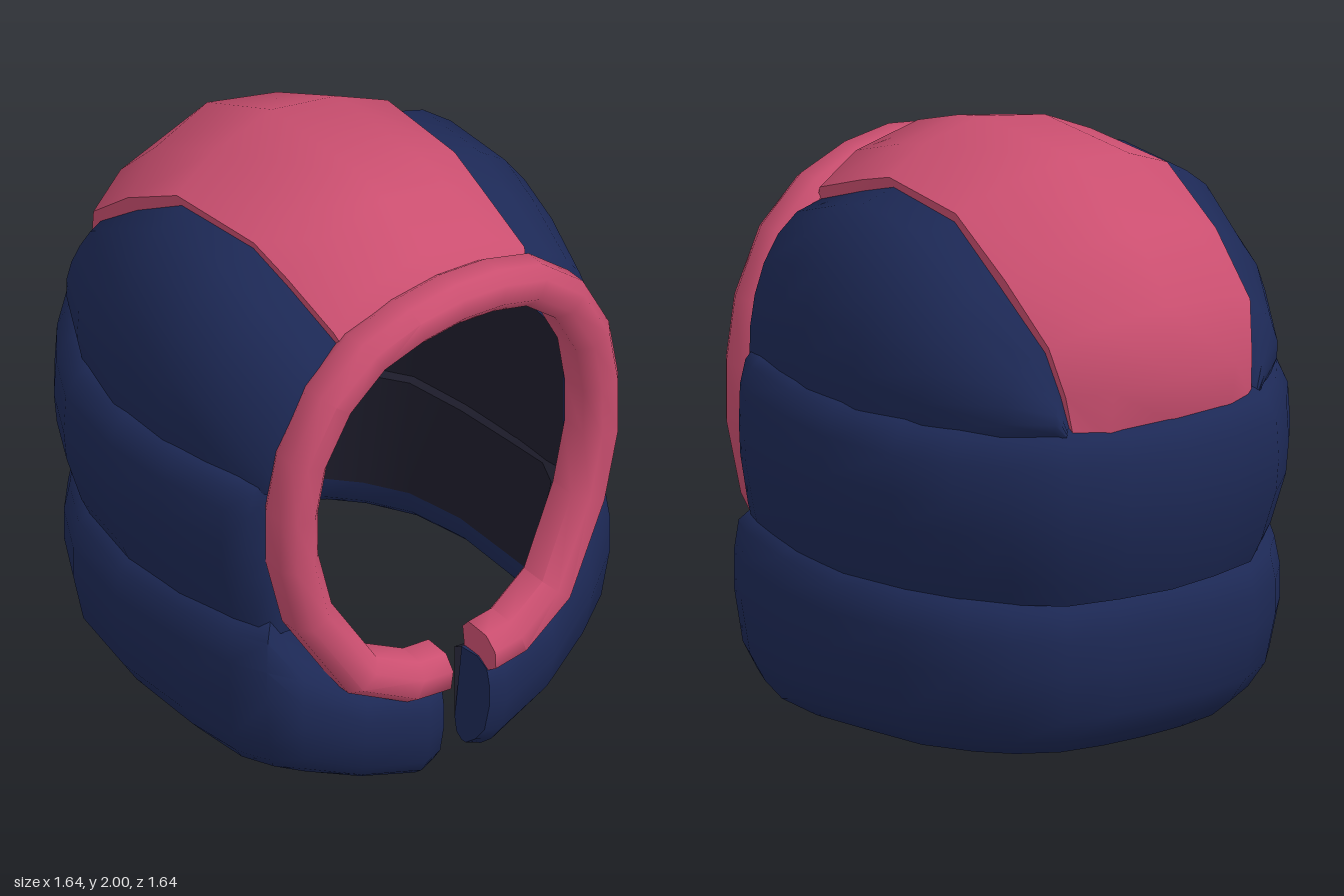
import * as THREE from 'three';
import { toCreasedNormals } from 'three/addons/utils/BufferGeometryUtils.js';

const V = (x, y, z) => new THREE.Vector3(x, y, z);
const flipX = p => V(-p.x, p.y, p.z);

// Value that changes from the back of the hood to its front opening
const backToFront = (z, back, front) =>
  THREE.MathUtils.mapLinear(THREE.MathUtils.clamp(z, -0.1, 0.6), -0.1, 0.6, back, front);

// Surface through cross-sections; optional fan caps on the two end sections
function loft(sections, { flip = false, caps = false } = {}) {
  const pos = [];
  const tri = (a, b, c) => (flip ? [a, c, b] : [a, b, c]).forEach(p => pos.push(p.x, p.y, p.z));
  for (let i = 0; i < sections.length - 1; i++) {
    const s = sections[i], t = sections[i + 1];
    for (let j = 0; j < s.length - 1; j++) {
      tri(s[j], t[j], t[j + 1]);
      tri(s[j], t[j + 1], s[j + 1]);
    }
  }
  if (caps) {
    const cap = (loop, end) => {
      const c = loop.reduce((a, p) => a.add(p), V(0, 0, 0)).divideScalar(loop.length);
      loop.forEach((p, j) => {
        const q = loop[(j + 1) % loop.length];
        end ? tri(c, q, p) : tri(c, p, q);
      });
    };
    cap(sections[0], false);
    cap(sections[sections.length - 1], true);
  }
  const g = new THREE.BufferGeometry();
  g.setAttribute('position', new THREE.Float32BufferAttribute(pos, 3));
  return toCreasedNormals(g, 0.9);
}

// Padded roll: stations [x, z, yBottom, yTop] from the front round to the back, mirrored.
// Profile points are [thickness from lining 0 to outside 1, height from 0 to 1].
function rollSections(stations, profile, keepFront) {
  const half = stations.map(([x, z, y0, y1]) => profile.map(([t, v]) => {
    const s = THREE.MathUtils.lerp(backToFront(z, 0.72, 0.8), 1, t);
    return V(x * s, y0 + (y1 - y0) * v, keepFront && z > 0 ? z : z * s);
  }));
  const other = half.slice(0, -1).reverse().map(sec => sec.map(flipX));
  return [...half, ...other];
}

export function createModel() {
  const navy = new THREE.MeshStandardMaterial({ color: 0x1d2956 });
  navy.name = 'navy padding';
  const rose = new THREE.MeshStandardMaterial({ color: 0xcb4f70 });
  rose.name = 'rose trim';
  const dark = new THREE.MeshStandardMaterial({ color: 0x1e1d2c, side: THREE.DoubleSide });
  dark.name = 'dark lining';

  const model = new THREE.Group();
  model.name = 'paddedHood';
  const add = (name, geometry, material) => {
    const m = new THREE.Mesh(geometry, material);
    m.name = name;
    model.add(m);
  };

  // Neck roll, split at the front and dipping under the chin
  const neck = [
    [0.09, 0.78, 0.02, 0.38], [0.15, 0.79, 0.0, 0.38], [0.37, 0.75, 0.05, 0.43],
    [0.57, 0.68, 0.11, 0.57], [0.68, 0.635, 0.15, 0.75], [0.74, 0.52, 0.15, 0.75],
    [0.77, 0.3, 0.15, 0.73], [0.79, 0, 0.17, 0.72], [0.74, -0.28, 0.17, 0.73],
    [0.63, -0.47, 0.17, 0.72], [0.52, -0.59, 0.17, 0.72], [0.37, -0.68, 0.17, 0.71],
    [0.19, -0.715, 0.17, 0.715], [0, -0.725, 0.17, 0.72]];
  const neckOuter = [[0, 0.2], [0.05, 0.06], [0.2, 0], [0.32, 0], [0.6, 0.1], [0.85, 0.25],
    [1, 0.55], [1, 0.75], [0.92, 0.92], [0.65, 1], [0.2, 1]];
  add('neckRoll', loft(rollSections(neck, neckOuter), { caps: true }), navy);
  add('neckLining', loft(rollSections(neck, [[0.2, 1], [0, 0.96], [0, 0.2]])), dark);

  // Middle roll around the ears and the back of the head
  const middle = [
    [0.65, 0.6], [0.71, 0.57], [0.75, 0.49], [0.8, 0.25], [0.82, 0], [0.77, -0.29],
    [0.67, -0.47], [0.55, -0.62], [0.41, -0.75], [0.21, -0.8], [0, -0.826]]
    .map(([x, z]) => [x, z, 0.69, 1.28]);
  const middleOuter = [[0, 0], [0.6, 0.01], [0.75, 0.14], [0.96, 0.42], [1, 0.6],
    [0.97, 0.82], [0.82, 0.95], [0.6, 1], [0, 1]];
  add('middleRoll', loft(rollSections(middle, middleOuter, true), { caps: true }), navy);
  add('middleLining', loft(rollSections(middle, [[0, 1], [0, 0]], true)), dark);

  // Crown: each row is side base (x, z), seam (x, y, z), centre line (y, z), front to back
  const crown = [
    [0.6, 0.63, 0.34, 1.63, 0.64, 1.78, 0.66],
    [0.66, 0.58, 0.37, 1.71, 0.59, 1.9, 0.575],
    [0.71, 0.36, 0.38, 1.8, 0.36, 1.975, 0.36],
    [0.74, 0.18, 0.39, 1.86, 0.19, 2.0, 0.25],
    [0.74, -0.07, 0.41, 1.84, -0.15, 1.99, -0.22],
    [0.67, -0.32, 0.41, 1.69, -0.38, 1.83, -0.55],
    [0.53, -0.55, 0.39, 1.52, -0.59, 1.63, -0.72],
    [0.4, -0.65, 0.36, 1.38, -0.63, 1.41, -0.8],
    [0.35, -0.67, 0.34, 1.23, -0.67, 1.25, -0.75]];
  const sides = [], tops = [];
  crown.forEach(([bx, bz, ex, ey, ez, cy, cz], i) => {
    const base = V(bx, 1.25, bz), edge = V(ex, ey, ez), mid = V(0, cy, cz);
    const puff = i < 2 ? 1.02 : 1.09;
    const c1 = V(bx * puff, 1.25 + (ey - 1.25) * 0.4, i < 3 ? bz : bz * puff);
    const c2 = V(ex + (bx - ex) * 0.75, ey, ez + (bz - ez) * 0.75);
    sides.push(new THREE.CubicBezierCurve3(base, c1, c2, edge).getPoints(6));
    const lip = edge.clone().lerp(mid, 0.22).setX(ex + 0.008);
    const swell = edge.clone().lerp(mid, 0.72).setX(0.24);
    tops.push([edge, lip, swell, mid, flipX(swell), flipX(lip), flipX(edge)]);
  });
  add('leftCrownPanel', loft(sides), navy);
  add('rightCrownPanel', loft(sides.map(s => s.map(flipX)), { flip: true }), navy);
  add('centreCrownPanel', loft(tops), rose);

  // Crown lining, a smaller copy of the whole arch turned inward
  const arches = sides.map((s, i) => [...s, ...tops[i].slice(1, -1), ...s.map(flipX).reverse()]
    .map(p => {
      const k = backToFront(p.z, 0.8, 0.94);
      return V(p.x * k, 1.25 + (p.y - 1.25) * backToFront(p.z, 0.78, 0.88), p.z > 0 ? p.z : p.z * k);
    }));
  add('crownLining', loft(arches, { flip: true }), dark);

  // Face rim: rounded section swept along an open oval
  const rimHalf = [[0.085, 0.42, 0.735], [0.2, 0.43, 0.73], [0.38, 0.52, 0.7], [0.54, 0.79, 0.66],
    [0.595, 1.02, 0.655], [0.595, 1.2, 0.655], [0.56, 1.39, 0.66], [0.46, 1.58, 0.67],
    [0.32, 1.7, 0.675], [0.16, 1.755, 0.685], [0, 1.775, 0.69]].map(p => V(...p));
  const rim = [...rimHalf, ...rimHalf.slice(0, -1).reverse().map(flipX)];
  const section = [[1, -0.5], [1, 0.4], [0.55, 0.95], [-0.35, 1], [-0.95, 0.5],
    [-1, -0.6], [-0.5, -1], [0.6, -1], [1, -0.5]];
  const rimSections = rim.map((p, i) => {
    const a = rim[Math.max(i - 1, 0)], b = rim[Math.min(i + 1, rim.length - 1)];
    const t = b.clone().sub(a).setZ(0).normalize();
    return section.map(([r, d]) => V(p.x + t.y * r * 0.074, p.y - t.x * r * 0.074, p.z + d * 0.083));
  });
  add('faceRim', loft(rimSections, { caps: true }), rose);

  return model;
}
